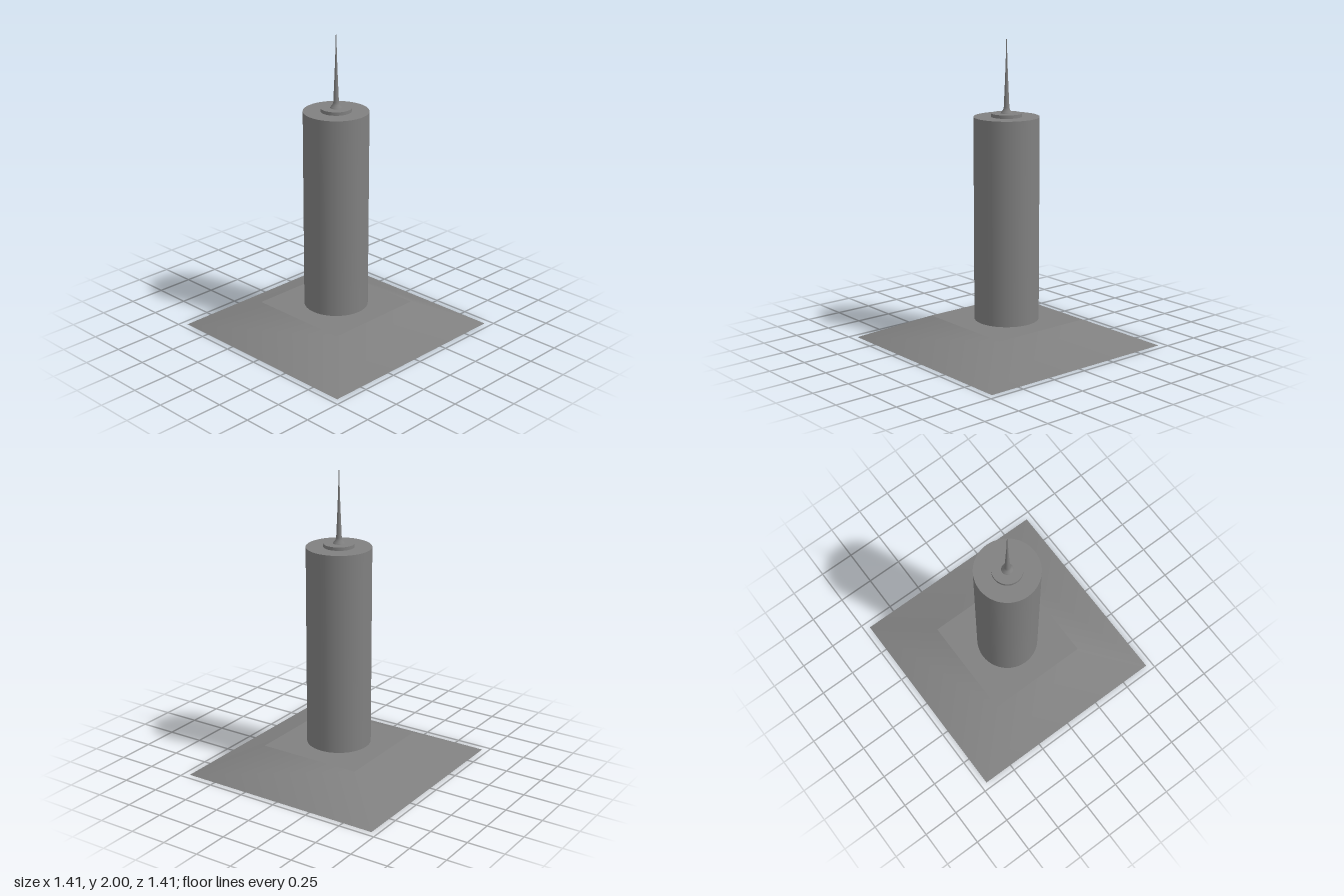
import * as THREE from 'three';

export function createModel() {
  const group = new THREE.Group();
  const grey = new THREE.MeshStandardMaterial({ color: 0x808080 });
  grey.name = 'concrete grey';

  const add = (name, geometry, y) => {
    const mesh = new THREE.Mesh(geometry, grey);
    mesh.name = name;
    mesh.position.y = y;
    group.add(mesh);
    return mesh;
  };
  // Upright cylinder placed by its bottom and top heights
  const column = (name, rTop, rBottom, y0, y1, sides) =>
    add(name, new THREE.CylinderGeometry(rTop, rBottom, y1 - y0, sides), (y0 + y1) / 2);

  // Sloped square plinth, smooth-shaded around its four sides
  const base = column('base', 0.5, 1, 0, 0.165, 4);
  base.rotation.y = Math.PI / 4;

  // Round tower and roof disc
  column('tower', 0.212, 0.212, 0.165, 1.505, 48);
  column('roofDisc', 0.1, 0.1, 1.505, 1.527, 48);

  // Antenna: flared foot, tapering mast, needle tip
  const profile = [
    [0.038, 1.527], [0.034, 1.535], [0.023, 1.548], [0.018, 1.565],
    [0.012, 1.7], [0.006, 1.85], [0.004, 1.92], [0.003, 2], [0, 2],
  ].map(([r, y]) => new THREE.Vector2(r, y));
  add('antenna', new THREE.LatheGeometry(profile, 24), 0);

  return group;
}
